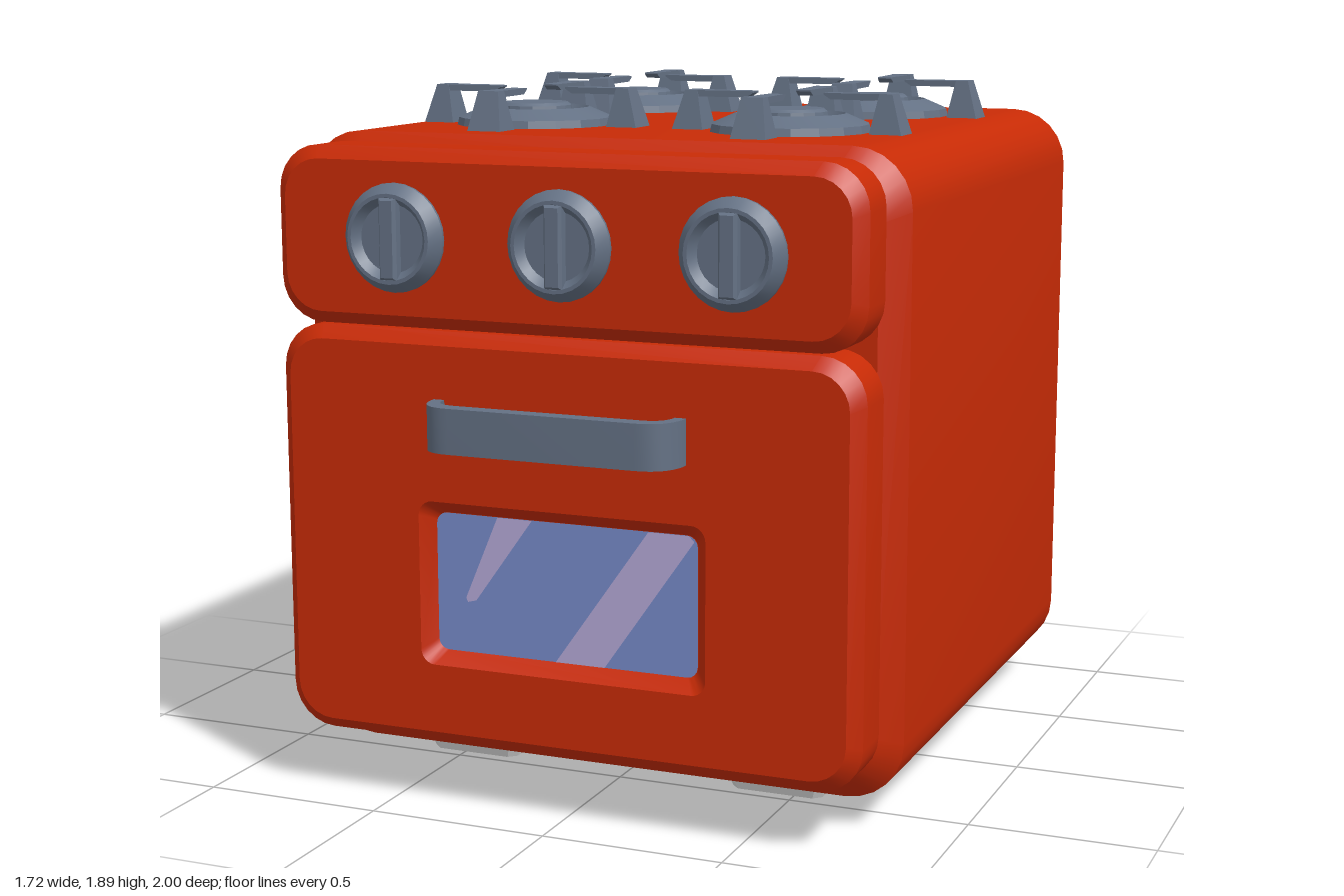
import * as THREE from 'three';
import { toCreasedNormals } from 'three/addons/utils/BufferGeometryUtils.js';

const paint = (name, color, side = THREE.FrontSide) => {
  const m = new THREE.MeshStandardMaterial({ color, side });
  m.name = name;
  return m;
};

// Rounded rectangle loop, counter-clockwise seen from +z
function ring({ w, h, r = 0, z, x = 0, y = 0 }, seg) {
  const pts = [];
  for (let c = 0; c < 4; c++) {
    const sx = c === 0 || c === 3 ? 1 : -1, sy = c < 2 ? 1 : -1;
    for (let i = 0; i <= seg; i++) {
      const a = (c + (seg ? i / seg : 0.5)) * Math.PI / 2;
      pts.push([x + sx * (w / 2 - r) + r * Math.cos(a), y + sy * (h / 2 - r) + r * Math.sin(a), z]);
    }
  }
  return pts;
}

// Closed shell through rounded rectangles, listed from front to back
function loft(sections, seg = 6) {
  const rings = sections.map((s) => ring(s, seg)), n = rings[0].length, pos = [];
  const mid = (s) => [s.x ?? 0, s.y ?? 0, s.z];
  const first = rings[0], last = rings[rings.length - 1];
  const c0 = mid(sections[0]), c1 = mid(sections[sections.length - 1]);
  for (let i = 0; i < n; i++) {
    const j = (i + 1) % n;
    pos.push(...c0, ...first[i], ...first[j], ...c1, ...last[j], ...last[i]);
    for (let k = 0; k < rings.length - 1; k++) {
      const a = rings[k], b = rings[k + 1];
      pos.push(...a[i], ...b[i], ...b[j], ...a[i], ...b[j], ...a[j]);
    }
  }
  const g = new THREE.BufferGeometry();
  g.setAttribute('position', new THREE.Float32BufferAttribute(pos, 3));
  return toCreasedNormals(g, 0.5);
}

// Outer slab sections with chamfered front and back edges
function slab(w, h, r, y, front, back, c) {
  const inner = { w: w - 2 * c, h: h - 2 * c, r: r - c * 0.6, y }, outer = { w, h, r, y };
  return [{ ...inner, z: front }, { ...outer, z: front - c }, { ...outer, z: back + c }, { ...inner, z: back }];
}

function polygon(points) {
  return new THREE.Shape(points.map(([x, y]) => new THREE.Vector2(x, y)));
}

export function createModel() {
  const red = paint('red enamel', 0xc82b06);
  const grey = paint('slate metal', 0x647184);
  const pale = paint('pale feet', 0xdededd);
  const glass = paint('blue glass', 0x778bca, THREE.DoubleSide);
  const shine = paint('lilac shine', 0xb6aad8, THREE.DoubleSide);

  const root = new THREE.Group();
  root.name = 'stove';
  const add = (parent, name, geo, mat, x = 0, y = 0, z = 0) => {
    const m = new THREE.Mesh(geo, mat);
    m.name = name;
    m.position.set(x, y, z);
    parent.add(m);
    return m;
  };

  // Cabinet with a bevelled recess in the back
  add(root, 'cabinet', loft([
    ...slab(1.72, 1.7, 0.16, 0.931, 0.695, -1, 0.066),
    { w: 1.31, h: 1.31, r: 0.09, y: 0.931, z: -1 },
    { w: 1.15, h: 1.15, r: 0.06, y: 0.931, z: -0.907 },
  ]), red);

  // Control panel and door with a sunken window frame
  add(root, 'controlPanel', loft(slab(1.64, 0.47, 0.12, 1.525, 0.89, 0.695, 0.034)), red, 0.003);
  add(root, 'door', loft([
    { w: 0.745, h: 0.375, r: 0.03, y: 0.613, z: 0.85 },
    { w: 0.815, h: 0.445, r: 0.04, y: 0.613, z: 0.89 },
    ...slab(1.64, 1.115, 0.12, 0.7275, 0.89, 0.695, 0.034),
  ]), red, 0.003);

  // Window pane with two slanted highlights
  const pane = new THREE.Shape(ring({ w: 0.745, h: 0.375, r: 0.03, z: 0, y: 0.613 }, 4)
    .map(([x, y]) => new THREE.Vector2(x, y)));
  add(root, 'window', new THREE.ShapeGeometry(pane), glass, 0.003, 0, 0.853);
  [
    [[-0.19, 0.8], [-0.285, 0.575], [-0.28, 0.563], [-0.255, 0.57], [-0.09, 0.8]],
    [[0.24, 0.8], [-0.025, 0.426], [0.115, 0.426], [0.367, 0.785], [0.352, 0.8]],
  ].forEach((p) => add(root, 'windowShine', new THREE.ShapeGeometry(polygon(p)), shine, 0, 0, 0.856));

  // Door handle: a bent flat band
  const band = new THREE.Shape();
  band.moveTo(-0.355, 0);
  band.lineTo(-0.355, 0.02);
  band.quadraticCurveTo(-0.345, 0.112, -0.26, 0.112);
  band.lineTo(0.26, 0.112);
  band.quadraticCurveTo(0.345, 0.112, 0.355, 0.02);
  band.lineTo(0.355, 0);
  band.lineTo(0.325, 0);
  band.quadraticCurveTo(0.325, 0.067, 0.26, 0.067);
  band.lineTo(-0.26, 0.067);
  band.quadraticCurveTo(-0.325, 0.067, -0.325, 0);
  const handle = new THREE.ExtrudeGeometry(band, { depth: 0.12, bevelEnabled: false, curveSegments: 8 });
  handle.rotateX(Math.PI / 2);
  add(root, 'handle', toCreasedNormals(handle, 0.5), grey, 0.003, 1.11, 0.888);

  // Knobs: dished discs with a grip bar
  const dish = [[0.143, 0], [0.143, 0.008], [0.118, 0.042], [0.108, 0.042], [0.09, 0.018], [0, 0.018]];
  const knobGeo = new THREE.LatheGeometry(dish.map(([r, y]) => new THREE.Vector2(r, y)), 28);
  knobGeo.rotateX(Math.PI / 2);
  const knobBody = toCreasedNormals(knobGeo, 0.4);
  const gripBar = loft([
    { w: 0.036, h: 0.2, z: 0.05 }, { w: 0.05, h: 0.214, z: 0.04 }, { w: 0.05, h: 0.214, z: 0 },
  ], 0);
  for (const x of [-0.456, 0.014, 0.484]) {
    const knob = new THREE.Group();
    knob.name = 'knob';
    knob.position.set(x, 1.528, 0.89);
    add(knob, 'knobBody', knobBody, grey);
    add(knob, 'knobGrip', gripBar, grey);
    root.add(knob);
  }

  // Burners with four-armed pan supports
  const steps = [[0.22, 0], [0.215, 0.022], [0.15, 0.05], [0.135, 0.03], [0.105, 0.03],
    [0.1, 0.055], [0.09, 0.063], [0, 0.063]];
  const burnerGeo = toCreasedNormals(
    new THREE.LatheGeometry(steps.map(([r, y]) => new THREE.Vector2(r, y)), 18), 0.3);
  const legGeo = loft([
    { w: 0.036, h: 0.06, x: 0.277, z: 0.107 }, { w: 0.092, h: 0.1, x: 0.282, z: -0.005 },
  ], 0);
  legGeo.rotateX(-Math.PI / 2);
  // Arm narrows toward a slanted tip
  const armGeo = loft([
    { w: 0.06, h: 0.017, y: 0.098, z: 0.28 },
    { w: 0.044, h: 0.017, y: 0.098, z: 0.12 },
    { w: 0.042, h: 0.004, y: 0.104, z: 0.1 },
  ], 0);
  armGeo.rotateY(Math.PI / 2);
  for (const x of [-0.376, 0.384]) {
    for (const z of [-0.515, 0.21]) {
      const burner = new THREE.Group();
      burner.name = 'burner';
      burner.position.set(x, 1.78, z);
      add(burner, 'burnerCap', burnerGeo, grey);
      for (let i = 0; i < 4; i++) {
        const support = new THREE.Group();
        support.name = 'panSupport';
        support.rotation.y = i * Math.PI / 2;
        add(support, 'supportLeg', legGeo, grey);
        add(support, 'supportArm', armGeo, grey);
        burner.add(support);
      }
      root.add(burner);
    }
  }

  // Tapered feet with cut corners
  const footGeo = loft([
    { w: 0.33, h: 0.33, r: 0.028, z: 0.09 }, { w: 0.26, h: 0.26, r: 0.022, z: 0 },
  ], 1);
  footGeo.rotateX(-Math.PI / 2);
  for (const x of [-0.474, 0.446]) {
    for (const z of [-0.585, 0.335]) add(root, 'foot', footGeo, pale, x, 0, z);
  }
  return root;
}
